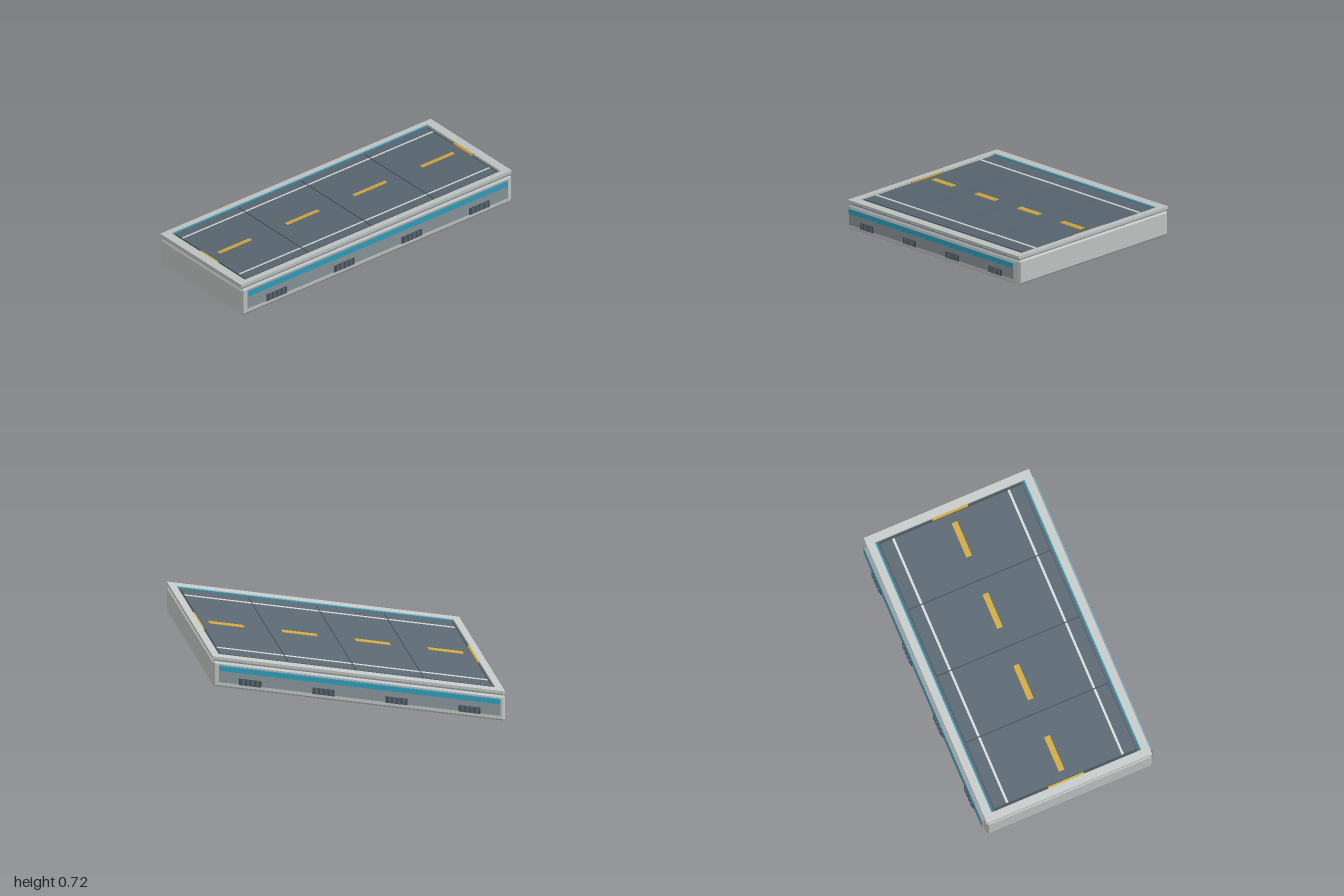
import * as THREE from 'three';
import { ConvexGeometry } from 'three/addons/geometries/ConvexGeometry.js';

const SLOPE = 0.25;
// Everything is built level, then sheared so the slab climbs towards +x with upright ends.
const shear = new THREE.Matrix4().set(
  1, 0, 0, 0,
  SLOPE, 1, 0, SLOPE,
  0, 0, 1, 0,
  0, 0, 0, 1);

function mat(name, color) {
  const m = new THREE.MeshStandardMaterial({ color });
  m.name = name;
  return m;
}

export function createModel() {
  const lightGrey = mat('light grey', 0xc4c9c8);
  const midGrey = mat('mid grey', 0x8f9aa0);
  const slate = mat('slate', 0x5b6872);
  const darkSlate = mat('dark slate', 0x46525c);
  const cyan = mat('cyan', 0x2fa6c4);
  const yellow = mat('yellow', 0xd0a840);
  const white = mat('off white', 0xd3d8da);

  const model = new THREE.Group();
  model.name = 'rampSlab';

  function add(name, geometry, material) {
    geometry.applyMatrix4(shear);
    const mesh = new THREE.Mesh(geometry, material);
    mesh.name = name;
    model.add(mesh);
  }
  function box(name, material, x0, x1, y0, y1, z0, z1) {
    const g = new THREE.BoxGeometry(x1 - x0, y1 - y0, z1 - z0);
    g.translate((x0 + x1) / 2, (y0 + y1) / 2, (z0 + z1) / 2);
    add(name, g, material);
  }
  // Box with every edge chamfered by b
  function chamferBox(name, material, hx, y0, y1, hz, b) {
    const pts = [], hy = (y1 - y0) / 2, cy = (y0 + y1) / 2;
    for (const sx of [-1, 1]) for (const sy of [-1, 1]) for (const sz of [-1, 1])
      for (let k = 0; k < 3; k++)
        pts.push(new THREE.Vector3(
          sx * (hx - (k === 0 ? 0 : b)),
          cy + sy * (hy - (k === 1 ? 0 : b)),
          sz * (hz - (k === 2 ? 0 : b))));
    add(name, new ConvexGeometry(pts), material);
  }

  // Main slab and the recessed seam under the rim
  chamferBox('body', lightGrey, 1, 0, 0.188, 0.6, 0.015);
  box('seam', midGrey, -0.988, 0.988, 0.18, 0.2, -0.588, 0.588);

  // Rim frame with an opening for the deck
  const rim = new THREE.Shape();
  rim.moveTo(-1, -0.598).lineTo(1, -0.598).lineTo(1, 0.598).lineTo(-1, 0.598).closePath();
  const hole = new THREE.Path();
  hole.moveTo(-0.946, -0.542).lineTo(-0.946, 0.542).lineTo(0.946, 0.542).lineTo(0.946, -0.542).closePath();
  rim.holes.push(hole);
  const rimGeo = new THREE.ExtrudeGeometry(rim, { depth: 0.02, bevelEnabled: false });
  rimGeo.rotateX(-Math.PI / 2).translate(0, 0.2, 0);
  add('rim', rimGeo, lightGrey);

  // Deck base and four road plates with lane markings
  box('deckBase', darkSlate, -0.946, 0.946, 0.195, 0.205, -0.542, 0.542);
  for (let i = 0; i < 4; i++) {
    const cx = -0.6975 + i * 0.465, h = 0.2285;
    box('roadPlate', slate, cx - h, cx + h, 0.2, 0.212, -0.513, 0.513);
    for (const s of [-1, 1])
      box('edgeLine', white, cx - h, cx + h, 0.211, 0.215, s * 0.418 - 0.008, s * 0.418 + 0.008);
    const dx = -0.75 + i * 0.5;
    box('centreDash', yellow, dx - 0.12, dx + 0.12, 0.211, 0.215, -0.02, 0.02);
  }
  for (const s of [-1, 1]) {
    box('deckBorder', slate, -0.946, 0.946, 0.2, 0.208, s * 0.526 - 0.008, s * 0.526 + 0.008);
    box('deckGlowStrip', cyan, -0.944, 0.944, 0.2, 0.215, s * 0.538 - 0.004, s * 0.538 + 0.004);
    box('endMarker', yellow, s * 0.939 - 0.007, s * 0.939 + 0.007, 0.2, 0.217, -0.128, 0.128);
  }

  // Side panels, glow strips and vents on both long sides
  for (const s of [-1, 1]) {
    const side = (name, m, x0, x1, y0, y1, z0, z1) =>
      box(name, m, x0, x1, y0, y1, Math.min(s * z0, s * z1), Math.max(s * z0, s * z1));
    const pts = [];
    for (const sx of [-1, 1]) for (const y of [0.046, 0.168])
      pts.push(new THREE.Vector3(sx * 0.95, y, s * 0.595), new THREE.Vector3(sx * 0.962, y, s * 0.616));
    add('sidePanel', new ConvexGeometry(pts), midGrey);
    side('sideGlowStrip', cyan, -0.96, 0.96, 0.13, 0.166, 0.612, 0.619);
    for (let i = 0; i < 4; i++) {
      const x = -0.75 + i * 0.5;
      side('ventPlate', darkSlate, x - 0.075, x + 0.075, 0.043, 0.089, 0.61, 0.621);
      for (let k = 0; k < 4; k++) {
        const fx = x - 0.048 + k * 0.032;
        side('ventFin', slate, fx - 0.01, fx + 0.01, 0.047, 0.085, 0.615, 0.627);
      }
    }
  }
  return model;
}
